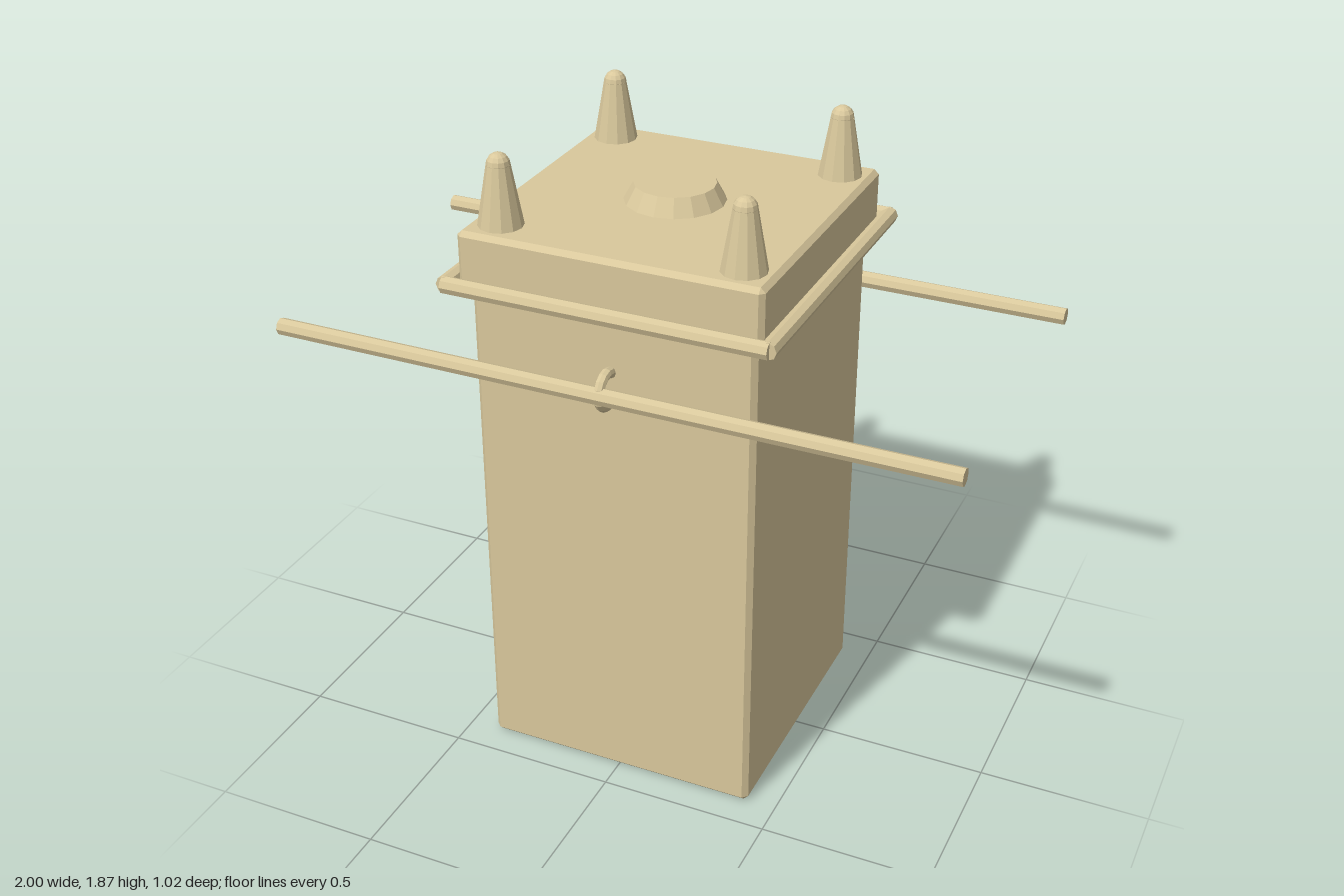
import * as THREE from 'three';
import { ConvexGeometry } from 'three/addons/geometries/ConvexGeometry.js';

const material = new THREE.MeshStandardMaterial({ color: 0xd9c89c, flatShading: true });

function add(parent, name, geometry, x = 0, y = 0, z = 0) {
  const mesh = new THREE.Mesh(geometry, material);
  mesh.name = name;
  mesh.position.set(x, y, z);
  parent.add(mesh);
  return mesh;
}

// Box with flat chamfers on all twelve edges
function chamferedBox(w, h, d, c) {
  const points = [];
  for (const sx of [-1, 1]) for (const sy of [-1, 1]) for (const sz of [-1, 1]) {
    const x = w / 2, y = h / 2, z = d / 2;
    points.push(
      new THREE.Vector3(sx * x, sy * (y - c), sz * (z - c)),
      new THREE.Vector3(sx * (x - c), sy * y, sz * (z - c)),
      new THREE.Vector3(sx * (x - c), sy * (y - c), sz * z)
    );
  }
  return new ConvexGeometry(points);
}

// Eight-sided bar lying along x or z
function bar(length, radius, axis) {
  const g = new THREE.CylinderGeometry(radius, radius, length, 8);
  return axis === 'x' ? g.rotateZ(Math.PI / 2) : g.rotateX(Math.PI / 2);
}

export function createModel() {
  const model = new THREE.Group();
  model.name = 'carriedChest';

  // Tall chest and its lid
  add(model, 'body', chamferedBox(0.83, 1.51, 0.83, 0.015), 0, 0.755, 0);
  add(model, 'lid', chamferedBox(0.88, 0.175, 0.88, 0.014), 0, 1.5825, 0);
  add(model, 'lidBoss', new THREE.CylinderGeometry(0.115, 0.148, 0.06, 16), 0, 1.69, 0);

  for (const s of [-1, 1]) {
    // Moulding around the lid
    add(model, 'rimBarAcross', bar(0.94, 0.025, 'x'), 0, 1.52, s * 0.465);
    add(model, 'rimBarSide', bar(0.94, 0.025, 'z'), s * 0.465, 1.52, 0);

    // Carrying pole and the ring that holds it
    add(model, 'carryingPole', bar(2, 0.025, 'x'), 0, 1.295, s * 0.485);
    add(model, 'poleRing', new THREE.TorusGeometry(0.048, 0.015, 8, 16).rotateY(Math.PI / 2), 0, 1.293, s * 0.44);

    // Ball-tipped corner horns
    for (const t of [-1, 1]) {
      const horn = new THREE.Group();
      horn.name = 'cornerHorn';
      horn.position.set(s * 0.35, 1.66, t * 0.35);
      add(horn, 'hornCone', new THREE.CylinderGeometry(0.033, 0.065, 0.18, 12), 0, 0.09, 0);
      add(horn, 'hornTip', new THREE.SphereGeometry(0.033, 12, 8), 0, 0.181, 0);
      model.add(horn);
    }
  }
  return model;
}
